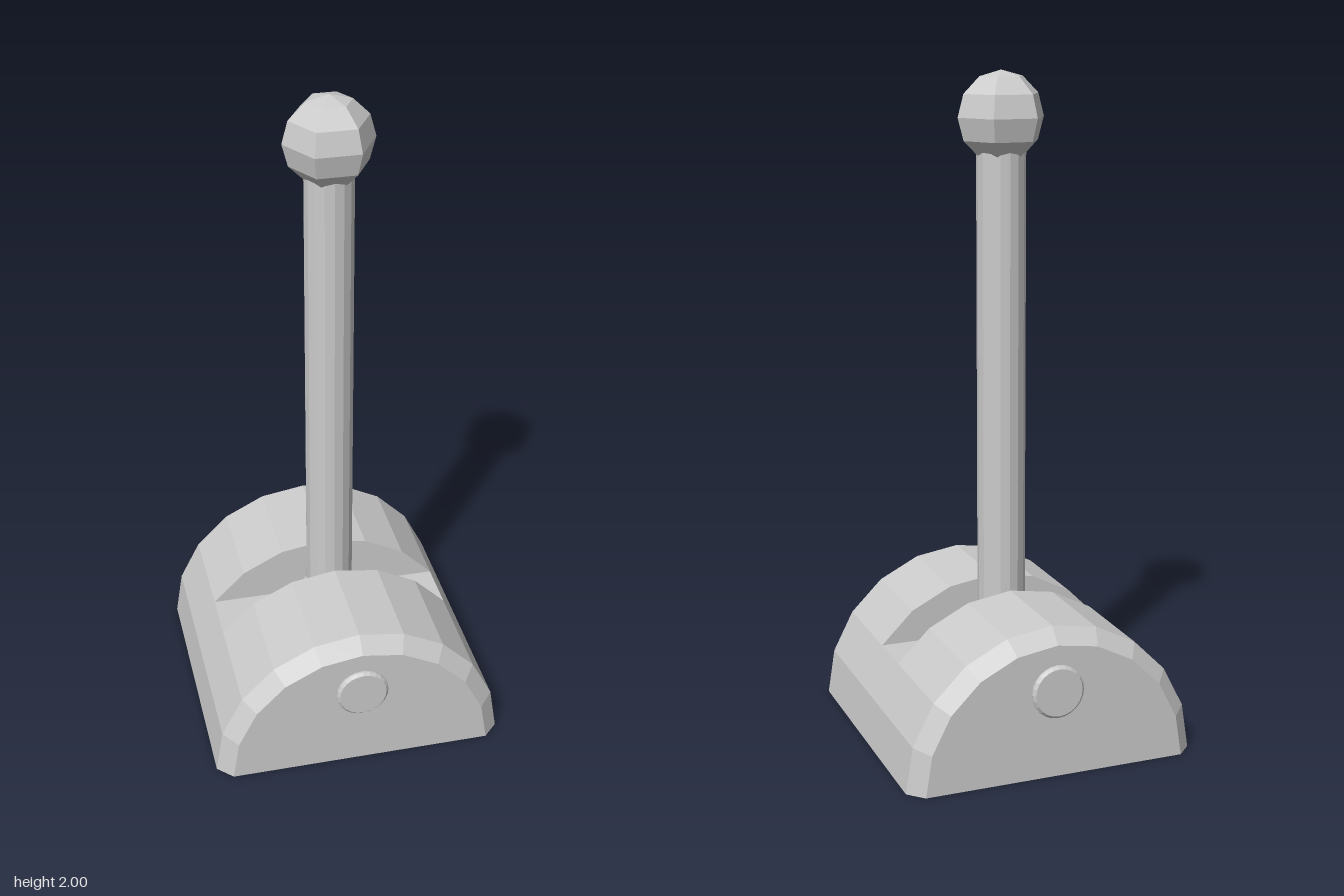
import * as THREE from 'three';

const material = new THREE.MeshStandardMaterial({ color: 0xcccccc, flatShading: true });
const RADIUS = 0.447, HALF_DEPTH = 0.447, BEVEL = 0.045, SLOT = 0.08;
const FLOOR = RADIUS * Math.sin(Math.PI * 0.2); // slot floor, also the pivot height

// Half-round section of the base, optionally cut flat at the slot floor
function section(z, radius, top = Infinity) {
  return Array.from({ length: 11 }, (_, i) => {
    const a = (i * Math.PI) / 10;
    return [radius * Math.cos(a), Math.min(radius * Math.sin(a), top), z];
  });
}

// Skin the sections from back to front and close both ends
function loft(sections) {
  const n = sections[0].length, pos = sections.flat(2), index = [];
  for (let s = 0; s < sections.length - 1; s++) {
    for (let i = 0; i < n; i++) {
      const a = s * n + i, b = s * n + ((i + 1) % n);
      index.push(a, b, a + n, a + n, b, b + n);
    }
  }
  const last = (sections.length - 1) * n;
  for (let i = 1; i < n - 1; i++) {
    index.push(0, i + 1, i, last, last + i, last + i + 1);
  }
  const indexed = new THREE.BufferGeometry();
  indexed.setAttribute('position', new THREE.Float32BufferAttribute(pos, 3));
  indexed.setIndex(index);
  const geometry = indexed.toNonIndexed();
  geometry.computeVertexNormals();
  return geometry;
}

export function createModel() {
  const group = new THREE.Group();
  const add = (name, geometry, y = 0) => {
    const mesh = new THREE.Mesh(geometry, material);
    mesh.name = name;
    mesh.position.y = y;
    group.add(mesh);
    return mesh;
  };

  // Half-round base with bevelled ends and a slot across the middle
  add('base', loft([
    section(-HALF_DEPTH, RADIUS - BEVEL),
    section(-HALF_DEPTH + BEVEL, RADIUS),
    section(-SLOT, RADIUS),
    section(-SLOT, RADIUS, FLOOR),
    section(SLOT, RADIUS, FLOOR),
    section(SLOT, RADIUS),
    section(HALF_DEPTH - BEVEL, RADIUS),
    section(HALF_DEPTH, RADIUS - BEVEL),
  ]));

  // Pivot pin running through the base, with chamfered ends
  const pinProfile = [[0, -0.461], [0.072, -0.461], [0.08, -0.453], [0.08, 0.453], [0.072, 0.461], [0, 0.461]]
    .map(([r, y]) => new THREE.Vector2(r, y));
  add('pivotPin', new THREE.LatheGeometry(pinProfile, 24), FLOOR).rotation.x = Math.PI / 2;

  // Lever shaft and faceted knob
  const shaftLength = 1.8 - FLOOR;
  add('leverShaft', new THREE.CylinderGeometry(0.073, 0.073, shaftLength, 16), FLOOR + shaftLength / 2);
  add('knob', new THREE.SphereGeometry(0.134, 6, 6), 1.866);

  return group;
}
